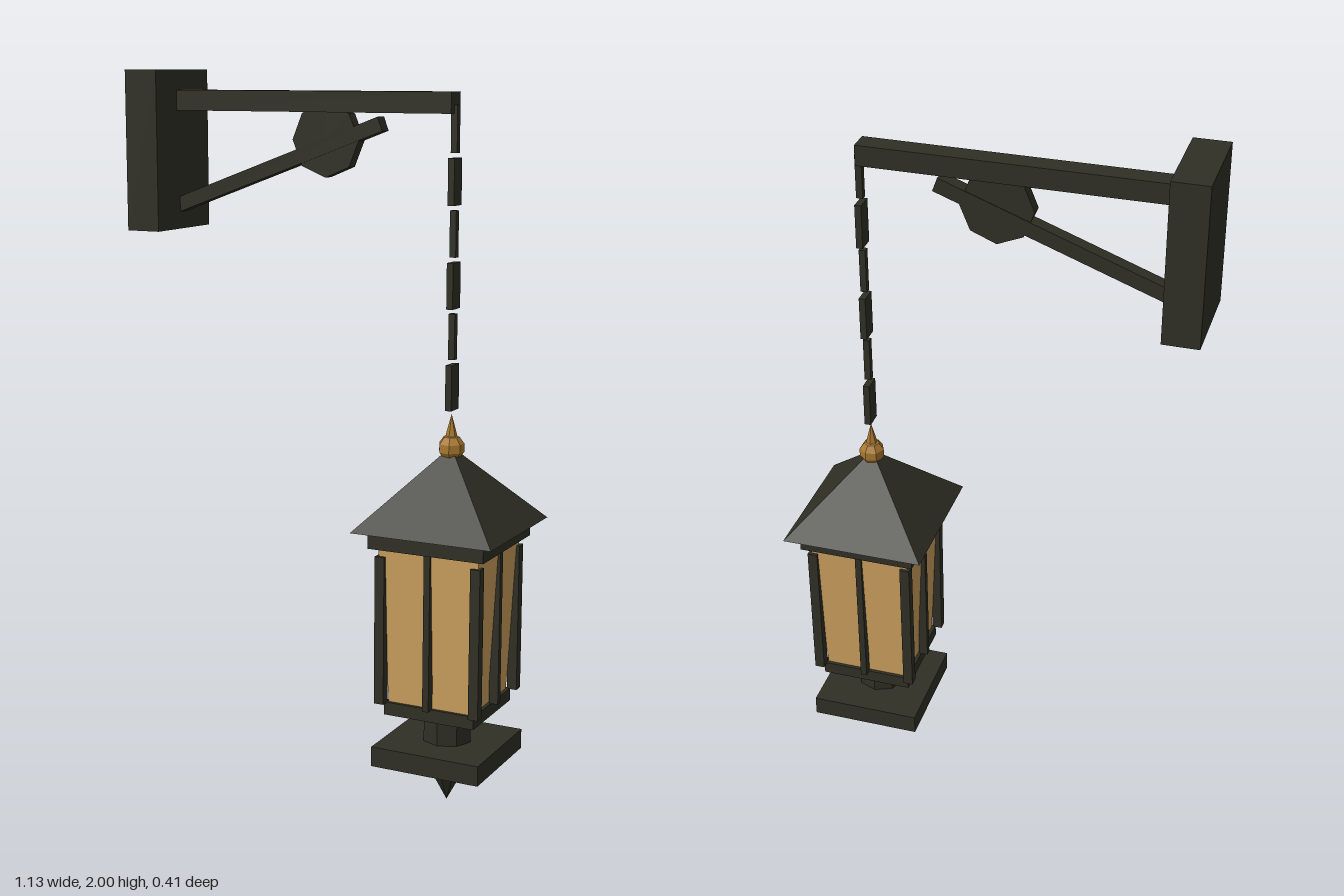
import * as THREE from 'three';

const iron = new THREE.MeshStandardMaterial({ color: 0x2f2f25 });
iron.name = 'dark iron';
const glass = new THREE.MeshStandardMaterial({ color: 0xcb9f5e });
glass.name = 'amber glass';
const brass = new THREE.MeshStandardMaterial({ color: 0xa87830 });
brass.name = 'brass';

export function createModel() {
  const model = new THREE.Group();
  model.name = 'wallLantern';

  // Adds a faceted part to a group
  function add(parent, name, geometry, material, x, y, z = 0) {
    const flat = geometry.index ? geometry.toNonIndexed() : geometry;
    flat.computeVertexNormals();
    const mesh = new THREE.Mesh(flat, material);
    mesh.name = name;
    mesh.position.set(x, y, z);
    parent.add(mesh);
    return mesh;
  }
  const box = (w, h, d) => new THREE.BoxGeometry(w, h, d);

  // Square frustum given by half widths at top and bottom
  const frustum = (top, bottom, h) =>
    new THREE.CylinderGeometry(top * Math.SQRT2, bottom * Math.SQRT2, h, 4).rotateY(Math.PI / 4);

  // Wall bracket
  const bracket = new THREE.Group();
  bracket.name = 'bracket';
  model.add(bracket);
  add(bracket, 'wallPlate', box(0.1, 0.44, 0.27), iron, -0.52, 1.78);
  add(bracket, 'arm', box(0.84, 0.056, 0.06), iron, -0.058, 1.917);
  const start = new THREE.Vector2(-0.49, 1.622), end = new THREE.Vector2(0.153, 1.86);
  const run = end.clone().sub(start);
  const brace = add(bracket, 'brace', box(run.length(), 0.04, 0.04), iron,
    (start.x + end.x) / 2, (start.y + end.y) / 2);
  brace.rotation.z = run.angle();
  const disc = new THREE.CylinderGeometry(0.1, 0.1, 0.036, 8).rotateX(Math.PI / 2);
  add(bracket, 'ornamentDisc', disc, iron, -0.01, 1.815);

  // Everything below hangs from the end of the arm
  const lantern = new THREE.Group();
  lantern.name = 'hangingLantern';
  lantern.position.x = 0.362;
  model.add(lantern);

  // Chain of alternating narrow and wide links
  for (let i = 0; i < 6; i++) {
    add(lantern, 'chainLink', box(0.018, 0.123, i % 2 ? 0.05 : 0.018), iron, 0, 1.85 - i * 0.136);
  }

  // Finial
  add(lantern, 'finialBall', new THREE.SphereGeometry(0.037, 7, 5), brass, 0, 1.005);
  add(lantern, 'finialSpike', new THREE.ConeGeometry(0.02, 0.075, 6), brass, 0, 1.06);

  // Roof and eave
  add(lantern, 'roof', frustum(0.003, 0.203, 0.215), iron, 0, 0.8975);
  add(lantern, 'eave', box(0.334, 0.05, 0.334), iron, 0, 0.768);

  // Tapered glass body with upright frame bars
  add(lantern, 'glass', frustum(0.146, 0.122, 0.45), glass, 0, 0.525);
  for (const sx of [-1, 1]) {
    for (const sz of [-1, 1]) {
      add(lantern, 'cornerPost', box(0.028, 0.415, 0.028), iron, sx * 0.139, 0.5125, sz * 0.139);
    }
  }
  for (const s of [-1, 1]) {
    add(lantern, 'mullion', box(0.018, 0.438, 0.026), iron, 0, 0.524, s * 0.139);
    add(lantern, 'mullion', box(0.026, 0.438, 0.018), iron, s * 0.139, 0.524, 0);
  }

  // Stepped base with drop point
  add(lantern, 'bottomPlate', box(0.264, 0.036, 0.264), iron, 0, 0.288);
  add(lantern, 'neck', new THREE.CylinderGeometry(0.07, 0.07, 0.1, 8), iron, 0, 0.225);
  add(lantern, 'basePlate', box(0.316, 0.056, 0.316), iron, 0, 0.152);
  add(lantern, 'dropPoint', new THREE.ConeGeometry(0.067, 0.125, 8).rotateX(Math.PI), iron, 0, 0.0625);

  return model;
}
